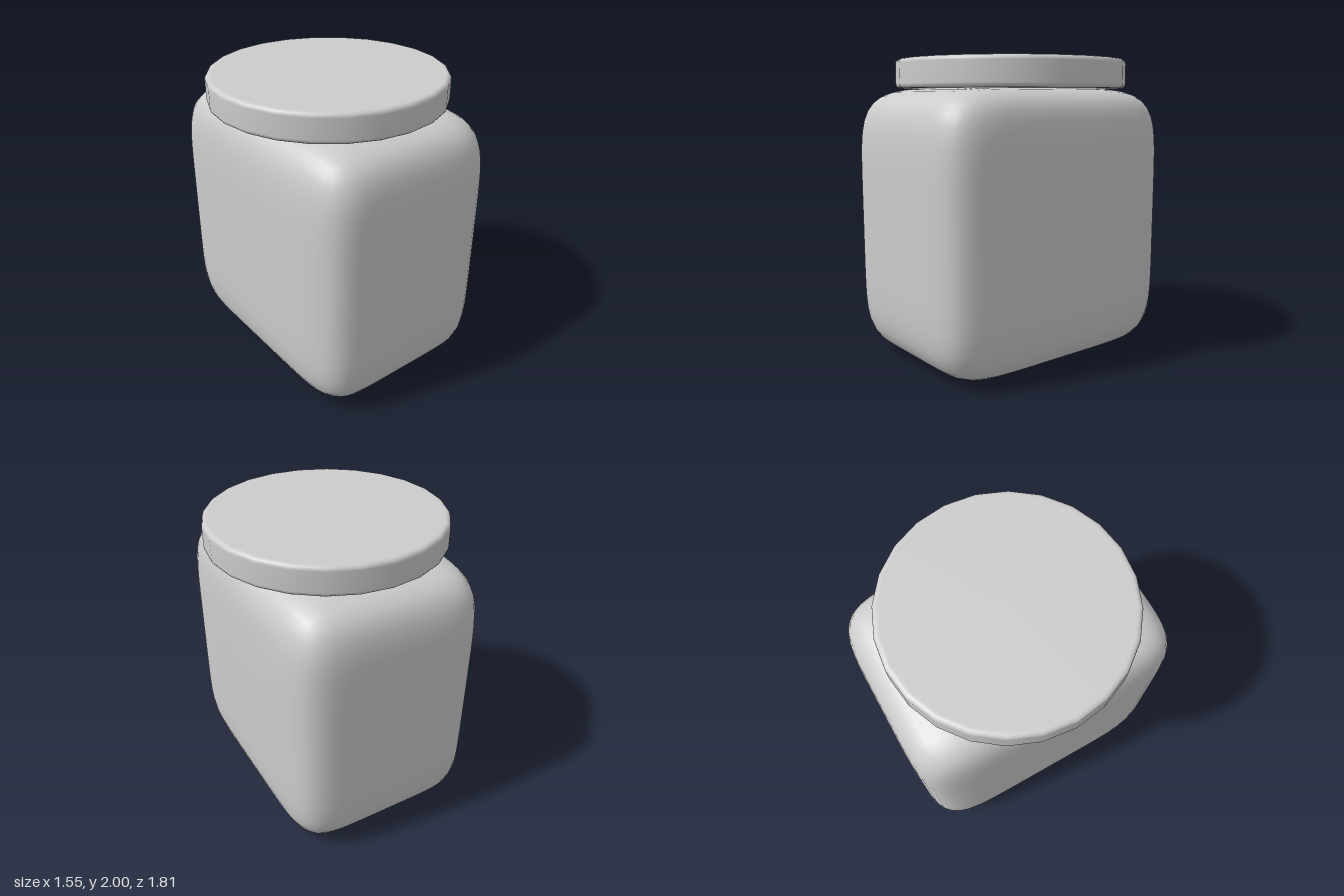
import * as THREE from 'three';
import { mergeVertices } from 'three/addons/utils/BufferGeometryUtils.js';

// Soft box: cube vertices pulled onto a superellipsoid
function softBox(hx, hy, hz, power, segments) {
  let geo = new THREE.BoxGeometry(2, 2, 2, segments, segments, segments);
  geo.deleteAttribute('uv');
  geo.deleteAttribute('normal');
  geo = mergeVertices(geo);
  const pos = geo.attributes.position;
  const p = new THREE.Vector3();
  for (let i = 0; i < pos.count; i++) {
    p.fromBufferAttribute(pos, i);
    const sum = Math.abs(p.x) ** power + Math.abs(p.y) ** power + Math.abs(p.z) ** power;
    p.multiplyScalar(sum ** (-1 / power));
    pos.setXYZ(i, p.x * hx, p.y * hy, p.z * hz);
  }
  geo.computeVertexNormals();
  return geo;
}

export function createModel() {
  const group = new THREE.Group();
  const grey = new THREE.MeshStandardMaterial({ color: 0xcccccc });
  grey.name = 'light grey';

  // Jar body with heavily rounded edges
  const body = new THREE.Mesh(softBox(0.662, 0.905, 0.905, 6.6, 20), grey);
  body.name = 'jarBody';
  body.position.y = 0.91;
  group.add(body);

  // Round lid, 24 sides, with a small rounded rim above and below
  const radius = 0.775, bottom = 1.81, top = 2, bevel = 0.03;
  const profile = [[0, bottom], [radius - bevel - 0.01, bottom]];
  for (const [y, start] of [[bottom + bevel, -Math.PI / 2], [top - bevel, 0]]) {
    for (let i = 0; i <= 4; i++) {
      const a = start + (i / 4) * (Math.PI / 2);
      profile.push([radius - bevel + bevel * Math.cos(a), y + bevel * Math.sin(a)]);
    }
  }
  profile.push([radius - bevel - 0.01, top], [0, top]);
  const points = profile.map(([x, y]) => new THREE.Vector2(x, y));
  const lid = new THREE.Mesh(new THREE.LatheGeometry(points, 24), grey);
  lid.name = 'lid';
  group.add(lid);

  return group;
}
